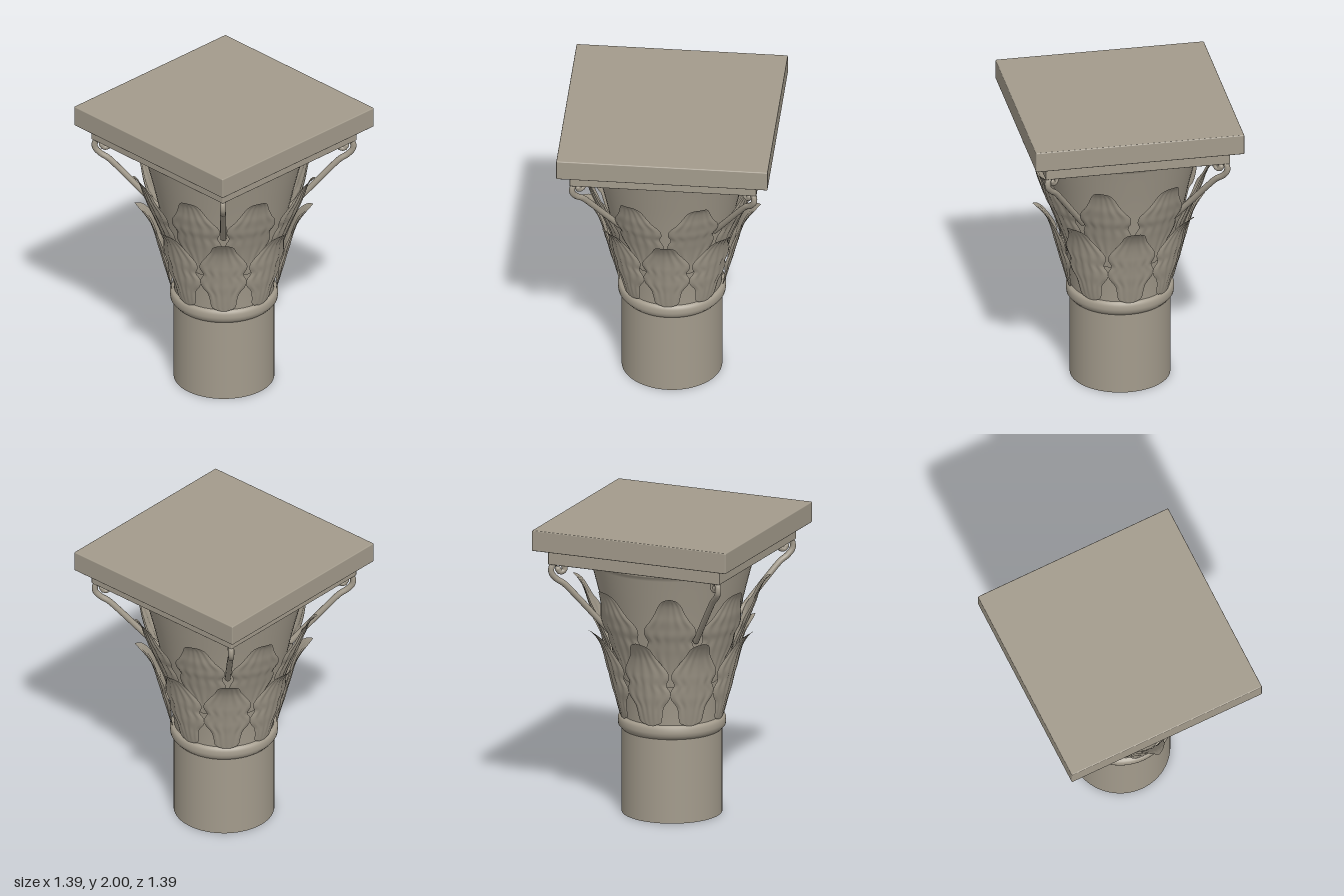
import * as THREE from 'three';
import { RoundedBoxGeometry } from 'three/addons/geometries/RoundedBoxGeometry.js';

const V2 = (p) => new THREE.Vector2(...p);
const V3 = (p) => new THREE.Vector3(...p);

// Leaf wrapped round the column; each rib point is [half width, radius, height]
function leafGeometry(rib, ripple) {
  const curve = new THREE.CatmullRomCurve3(rib.map(V3), false, 'centripetal');
  const rows = 44, cols = 24, pos = [], index = [];
  for (let i = 0; i <= rows; i++) {
    const p = curve.getPoint(i / rows);
    const fade = Math.sin(Math.PI * i / rows);
    for (let j = 0; j <= cols; j++) {
      const u = (j / cols) * 2 - 1;
      const a = (u * Math.max(p.x, 0)) / p.y;
      // shallow vertical flutes and a raised midrib
      const r = p.y + fade * (ripple * Math.cos(u * Math.PI * 5) + 0.012 * (1 - u * u) - 0.006);
      pos.push(Math.sin(a) * r, p.z, Math.cos(a) * r);
      if (i < rows && j < cols) {
        const k = i * (cols + 1) + j, n = k + cols + 1;
        index.push(k, k + 1, n, k + 1, n + 1, n);
      }
    }
  }
  const g = new THREE.BufferGeometry();
  g.setAttribute('position', new THREE.Float32BufferAttribute(pos, 3));
  g.setIndex(index);
  g.computeVertexNormals();
  return g;
}

export function createModel() {
  const model = new THREE.Group();
  model.name = 'columnCapital';
  const stone = new THREE.MeshStandardMaterial({ color: 0xa39b8c });
  stone.name = 'stone';
  const leafStone = new THREE.MeshStandardMaterial({ color: 0xa39b8c, side: THREE.DoubleSide });
  leafStone.name = 'leafStone';

  const add = (name, geometry, material = stone, parent = model) => {
    const mesh = new THREE.Mesh(geometry, material);
    mesh.name = name;
    parent.add(mesh);
    return mesh;
  };

  // Shaft
  add('shaft', new THREE.CylinderGeometry(0.33, 0.33, 0.62, 64)).position.y = 0.31;

  // Collar ring
  add('collar', new THREE.LatheGeometry([
    [0.325, 0.565], [0.34, 0.58], [0.352, 0.595], [0.355, 0.615], [0.354, 0.64], [0.345, 0.658], [0.32, 0.668],
  ].map(V2), 64));

  // Flaring bell with a rolled lip
  const bell = new THREE.SplineCurve([
    [0.325, 0.64], [0.335, 0.75], [0.355, 0.9], [0.385, 1.06], [0.42, 1.24], [0.46, 1.42], [0.505, 1.6], [0.535, 1.715],
  ].map(V2)).getPoints(32);
  add('bell', new THREE.LatheGeometry([
    ...bell, ...[[0.546, 1.725], [0.55, 1.737], [0.546, 1.75], [0.53, 1.76], [0, 1.76]].map(V2),
  ], 64));

  // Two square slabs on top
  add('lowerAbacus', new RoundedBoxGeometry(1.23, 0.1, 1.23, 2, 0.006)).position.y = 1.806;
  add('upperAbacus', new RoundedBoxGeometry(1.39, 0.14, 1.39, 2, 0.007)).position.y = 1.93;

  // Two staggered rings of eight leaves
  const lowerLeaf = leafGeometry([
    [0.02, 0.345, 0.663], [0.075, 0.35, 0.685], [0.09, 0.365, 0.745], [0.105, 0.378, 0.8],
    [0.15, 0.394, 0.86], [0.16, 0.404, 0.905], [0.138, 0.418, 0.96], [0.162, 0.432, 1.01],
    [0.16, 0.442, 1.05], [0.125, 0.46, 1.11], [0.09, 0.485, 1.17], [0.07, 0.525, 1.23], [0.045, 0.555, 1.26], [0, 0.585, 1.282],
  ], 0.004);
  const upperLeaf = leafGeometry([
    [0.02, 0.378, 0.94], [0.07, 0.383, 0.965], [0.09, 0.396, 1.03], [0.11, 0.413, 1.09],
    [0.155, 0.436, 1.16], [0.165, 0.455, 1.21], [0.15, 0.478, 1.27], [0.175, 0.502, 1.32],
    [0.172, 0.52, 1.37], [0.132, 0.545, 1.43], [0.1, 0.565, 1.49], [0.075, 0.592, 1.55], [0.045, 0.622, 1.59], [0, 0.65, 1.612],
  ], 0.004);
  for (let i = 0; i < 8; i++) {
    add('lowerLeaf', lowerLeaf, leafStone).rotation.y = (i * Math.PI) / 4;
    add('upperLeaf', upperLeaf, leafStone).rotation.y = ((i + 0.5) * Math.PI) / 4;
  }

  // Corner stems ending in a small curl under the slab
  const stemPath = new THREE.CatmullRomCurve3([
    [0, 1.265, 0.44], [0, 1.4, 0.56], [0, 1.53, 0.675], [0, 1.62, 0.76], [0, 1.655, 0.81], [0, 1.7, 0.845],
    [0, 1.745, 0.84], [0, 1.765, 0.8], [0, 1.745, 0.76], [0, 1.71, 0.755], [0, 1.7, 0.785], [0, 1.72, 0.8],
  ].map(V3), false, 'centripetal');
  const stemGeometry = new THREE.TubeGeometry(stemPath, 80, 0.02, 12);
  const endCap = new THREE.SphereGeometry(0.02, 12, 8);
  for (let i = 0; i < 4; i++) {
    const corner = new THREE.Group();
    corner.name = 'cornerVolute';
    corner.rotation.y = Math.PI / 4 + (i * Math.PI) / 2;
    add('stem', stemGeometry, stone, corner);
    for (const t of [0, 1]) add('stemEnd', endCap, stone, corner).position.copy(stemPath.getPoint(t));
    model.add(corner);
  }
  return model;
}
